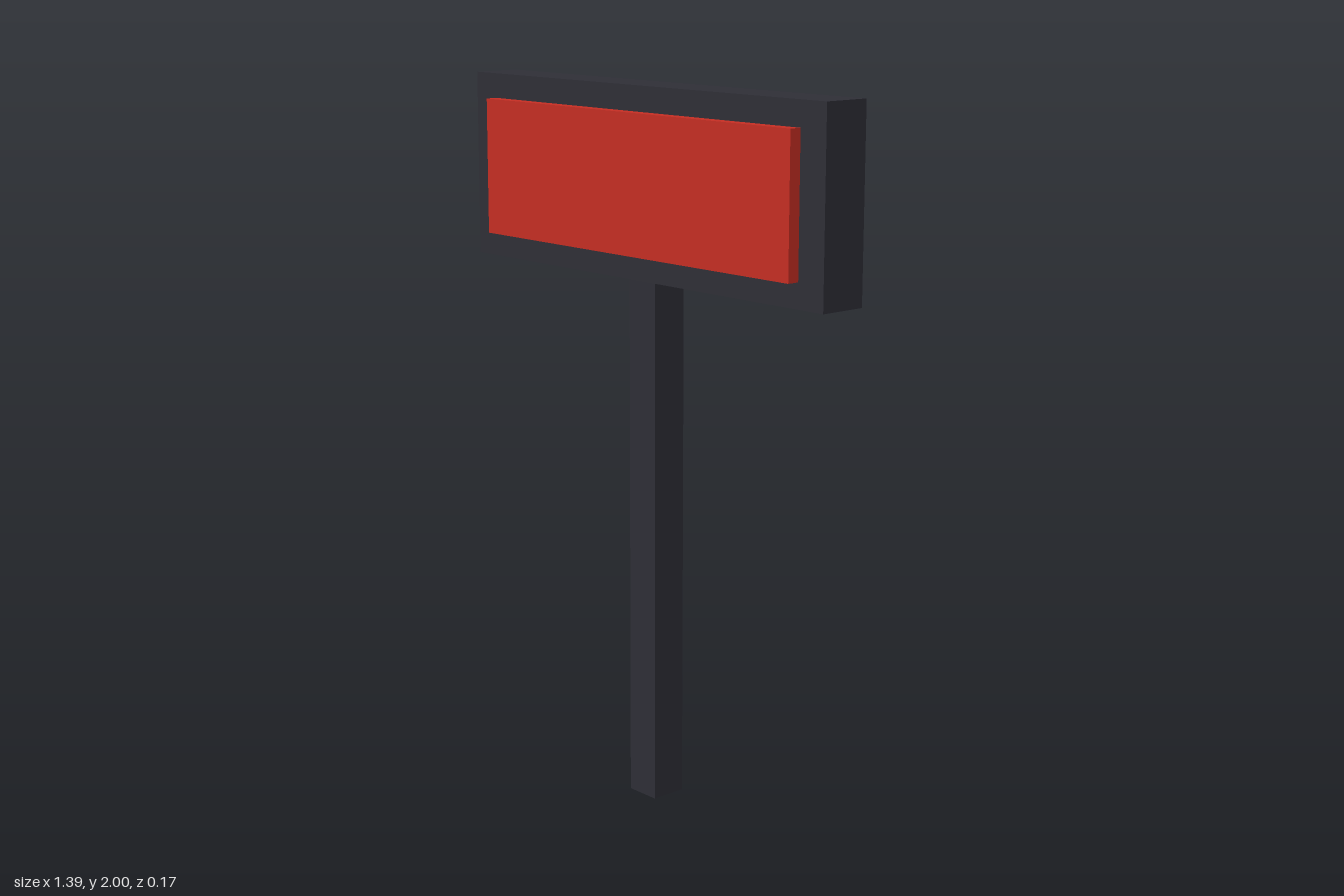
import * as THREE from 'three';

export function createModel() {
  const charcoal = new THREE.MeshStandardMaterial({ color: 0x2e2e36 });
  charcoal.name = 'charcoal';
  const red = new THREE.MeshStandardMaterial({ color: 0xc42d23 });
  red.name = 'red';

  const model = new THREE.Group();
  model.name = 'signpost';

  // Box given by its size and the position of its centre
  const addBox = (name, material, size, position) => {
    const mesh = new THREE.Mesh(new THREE.BoxGeometry(...size), material);
    mesh.name = name;
    mesh.position.set(...position);
    model.add(mesh);
  };

  // Square post, ending under the board
  addBox('post', charcoal, [0.104, 1.48, 0.104], [0, 0.74, -0.0175]);
  // Sign board
  addBox('board', charcoal, [1.39, 0.52, 0.139], [0, 1.74, -0.0175]);
  // Raised panel, set slightly into the front of the board
  addBox('panel', red, [1.214, 0.382, 0.06], [0, 1.74, 0.057]);

  return model;
}
